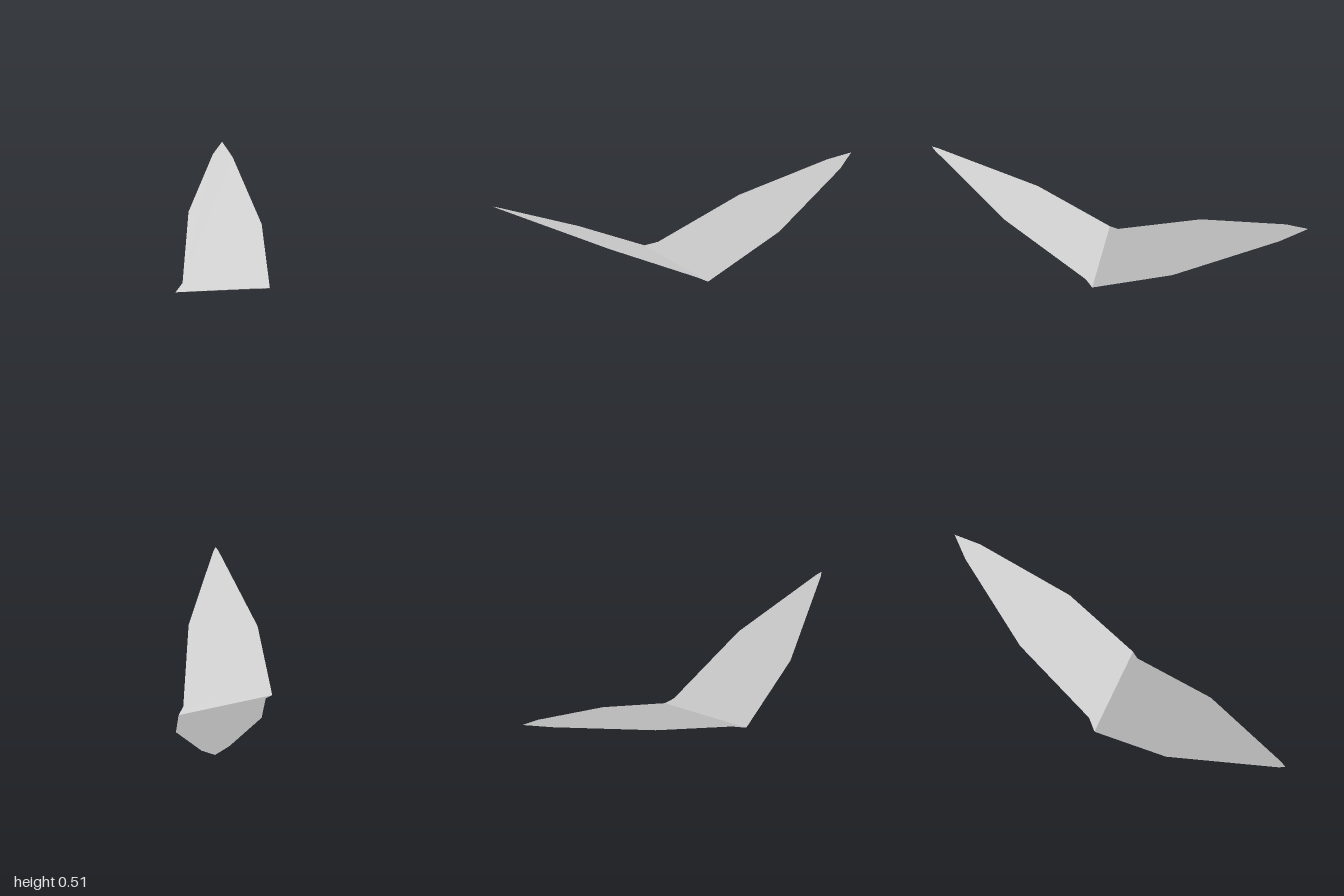
import * as THREE from 'three';

// height of the folded sheet: a tilted crease at z = 0.04, both panels rising away from it
const CREASE_Z = 0.04;
const height = (x, z) => 0.0215 - 0.0955 * x + 0.487 * Math.abs(z - CREASE_Z);

// flat panel cut from an outline of [x, z] points, then lifted onto its slope
function makePanel(name, outline, material) {
  const shape = new THREE.Shape(outline.map(([x, z]) => new THREE.Vector2(x, -z)));
  const geometry = new THREE.ShapeGeometry(shape);
  const pos = geometry.attributes.position;
  for (let i = 0; i < pos.count; i++) {
    const x = pos.getX(i), z = -pos.getY(i);
    pos.setXYZ(i, x, height(x, z), z);
  }
  geometry.computeVertexNormals();
  const mesh = new THREE.Mesh(geometry, material);
  mesh.name = name;
  return mesh;
}

export function createModel() {
  const group = new THREE.Group();
  group.name = 'foldedWings';
  const lightGrey = new THREE.MeshStandardMaterial({ color: 0xcccccc, side: THREE.DoubleSide });
  lightGrey.name = 'light grey';

  const creaseRight = [-0.292, CREASE_Z];
  const creaseLeft = [0.225, CREASE_Z];

  // wing reaching forward
  group.add(makePanel('frontWing', [
    creaseRight, [-0.294, 0.056], [-0.318, 0.45], [-0.213, 0.972], [-0.202, 1.0],
    [-0.183, 0.976], [0.062, 0.54], [0.191, 0.08], creaseLeft,
  ], lightGrey));

  // wing reaching backward
  group.add(makePanel('backWing', [
    creaseLeft, [0.316, -0.38], [0.294, -0.875], [0.264, -1.0],
    [0.177, -0.9], [-0.086, -0.475], [-0.24, -0.015], creaseRight,
  ], lightGrey));

  return group;
}
